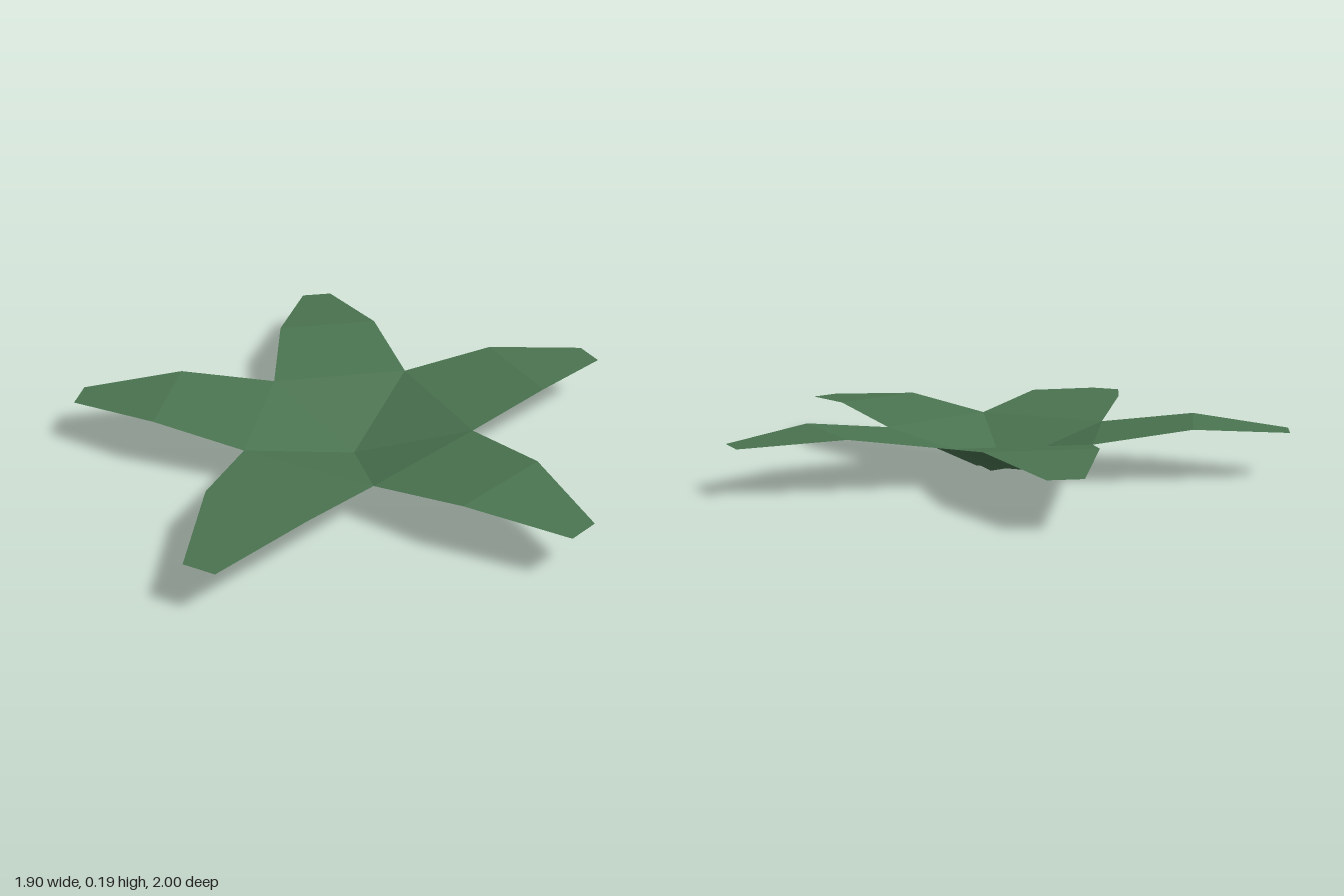
import * as THREE from 'three';

const SECTORS = 5;
const STEP = (Math.PI * 2) / SECTORS;

// Point at a radius, sideways offset and height, turned around the centre
const at = (angle, r, side, y) => [
  r * Math.cos(angle) + side * Math.sin(angle), y,
  r * Math.sin(angle) - side * Math.cos(angle),
];

function sheet(name, triangles, material) {
  const geometry = new THREE.BufferGeometry();
  geometry.setAttribute('position', new THREE.Float32BufferAttribute(triangles.flat(2), 3));
  geometry.computeVertexNormals(); // unshared corners give flat facets
  const mesh = new THREE.Mesh(geometry, material);
  mesh.name = name;
  return mesh;
}

export function createModel() {
  const model = new THREE.Group();
  model.name = 'leafStar';
  const leafGreen = new THREE.MeshStandardMaterial({ color: 0x4a7350, side: THREE.DoubleSide, flatShading: true });
  leafGreen.name = 'leafGreen';

  // Leaf cross-sections from root to tip: radius, half width, height
  const sections = [[0.348, 0.253, 0.135], [0.69, 0.19, 0.185], [1.03, 0.058, 0.16]];
  const apex = [0, 0.003, 0];

  for (let i = 0; i < SECTORS; i++) {
    const angle = i * STEP;
    const rows = sections.map(([r, w, y]) => [at(angle, r, w, y), at(angle, r, -w, y)]);

    // Hollow centre facet and the two bent panels of the leaf
    const leaf = [[apex, rows[0][1], rows[0][0]]];
    for (let k = 0; k < rows.length - 1; k++) {
      const [a, b] = rows[k], [c, d] = rows[k + 1];
      leaf.push([a, b, d], [a, d, c]);
    }
    model.add(sheet('leaf', leaf, leafGreen));

    // Folded underside, closing on a small foot
    const [p, q] = rows[0];
    const footA = at(angle - STEP / 2, 0.1, 0, 0);
    const footB = at(angle + STEP / 2, 0.1, 0, 0);
    const fold = at(angle, 0.065, 0, 0.004);
    const centre = [0, 0, 0];
    model.add(sheet('underside', [
      [p, q, fold], [p, fold, footA], [q, footB, fold],
      [centre, footA, fold], [centre, fold, footB],
    ], leafGreen));
  }

  model.position.x = -0.087;
  const root = new THREE.Group();
  root.name = 'calyx';
  root.add(model);
  return root;
}
